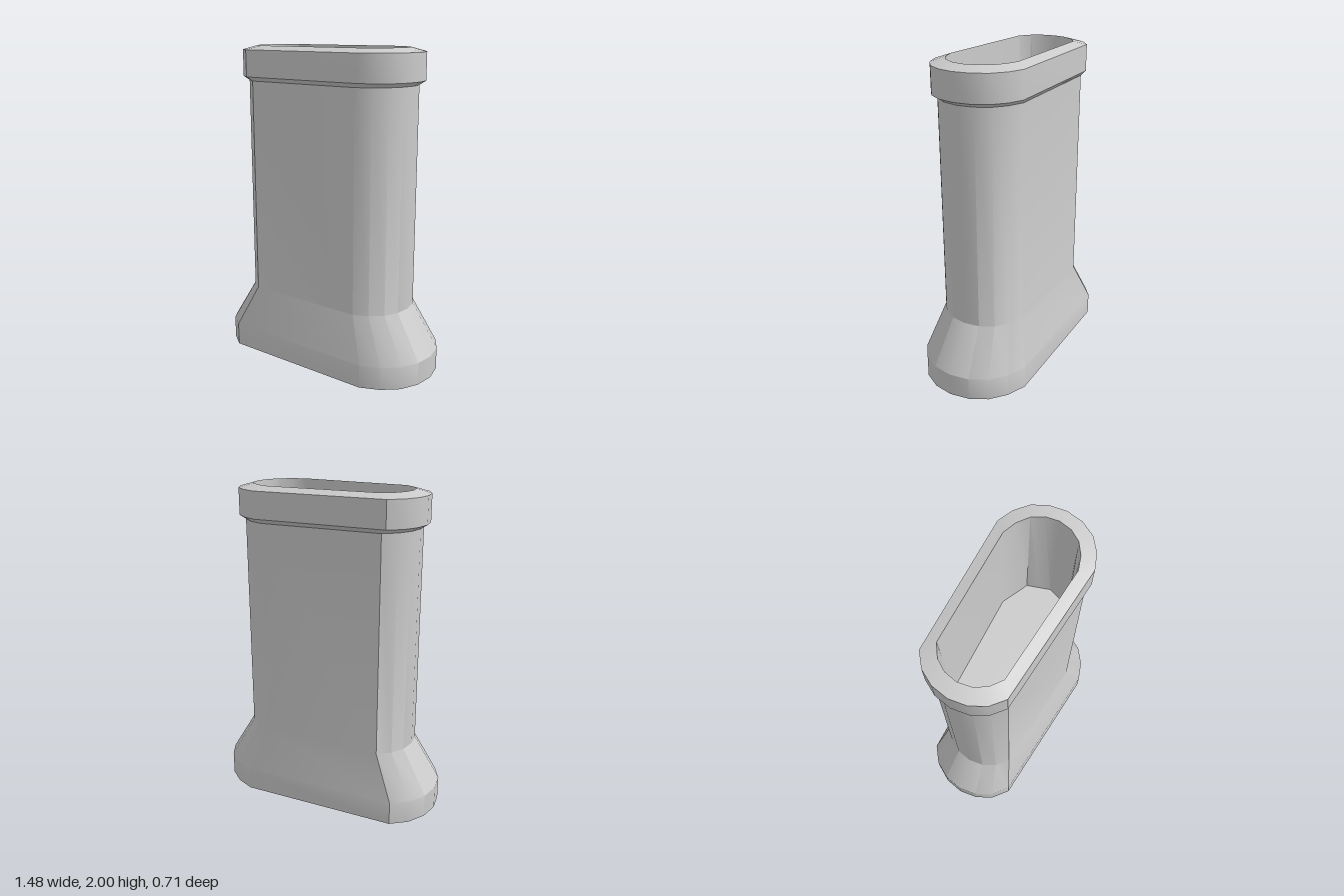
import * as THREE from 'three';
import { toCreasedNormals } from 'three/addons/utils/BufferGeometryUtils.js';

// Quarter of a rounded end, from its tip to the start of the straight side
const QUARTER = [[1, 0], [0.93, 0.35], [0.73, 0.65], [0.4, 0.87], [0, 1]];

// Mirror a quarter outline of [x, z] points into a closed loop at height y
function mirrorLoop(quarter, y) {
  const half = [...quarter, ...quarter.slice(0, -1).reverse().map(([x, z]) => [-x, z])];
  const back = half.slice(1, -1).reverse().map(([x, z]) => [x, -z]);
  return [...half, ...back].map(([x, z]) => [x, y, z]);
}

// Oblong loop: straight half length, half width in x and half depth in z
function oblong(y, straight, halfX, halfZ) {
  return mirrorLoop(QUARTER.map(([u, v]) => [straight + u * (halfX - straight), v * halfZ]), y);
}

// Join successive loops into a skin; optionally fill the last loop
function skin(name, loops, material, fillLast = false) {
  const positions = [];
  const n = loops[0].length;
  for (let k = 0; k < loops.length - 1; k++) {
    for (let i = 0; i < n; i++) {
      const j = (i + 1) % n;
      const a = loops[k][i], b = loops[k][j], c = loops[k + 1][j], d = loops[k + 1][i];
      positions.push(...a, ...d, ...c, ...a, ...c, ...b);
    }
  }
  if (fillLast) {
    const last = loops[loops.length - 1];
    for (let i = 0; i < n; i++) {
      positions.push(0, last[0][1], 0, ...last[(i + 1) % n], ...last[i]);
    }
  }
  const geometry = new THREE.BufferGeometry();
  geometry.setAttribute('position', new THREE.Float32BufferAttribute(positions, 3));
  const mesh = new THREE.Mesh(toCreasedNormals(geometry, Math.PI / 6), material);
  mesh.name = name;
  return mesh;
}

export function createModel() {
  const group = new THREE.Group();
  group.name = 'oblongChimney';
  const material = new THREE.MeshStandardMaterial({ color: 0xcccccc, side: THREE.DoubleSide });

  // Flared foot, open underneath, running up into the straight shaft
  group.add(skin('shaft', [
    oblong(0, 0.44, 0.74, 0.355),
    oblong(0.145, 0.44, 0.74, 0.355),
    oblong(0.42, 0.34, 0.57, 0.275),
    oblong(1.785, 0.34, 0.57, 0.275),
  ], material));

  // Projecting collar with bevelled underside and sloping top
  group.add(skin('collar', [
    oblong(1.785, 0.34, 0.57, 0.275),
    oblong(1.81, 0.37, 0.61, 0.295),
    oblong(1.975, 0.37, 0.61, 0.295),
    oblong(2, 0.31, 0.52, 0.225),
  ], material));

  // Recess inside the mouth, narrowing to a simpler outlined floor
  const floor = [[0.51, 0], [0.485, 0.073], [0.46, 0.145], [0.37, 0.183], [0.285, 0.22]];
  group.add(skin('flue', [
    oblong(2, 0.31, 0.52, 0.225),
    mirrorLoop(floor, 1.2),
  ], material, true));

  return group;
}
